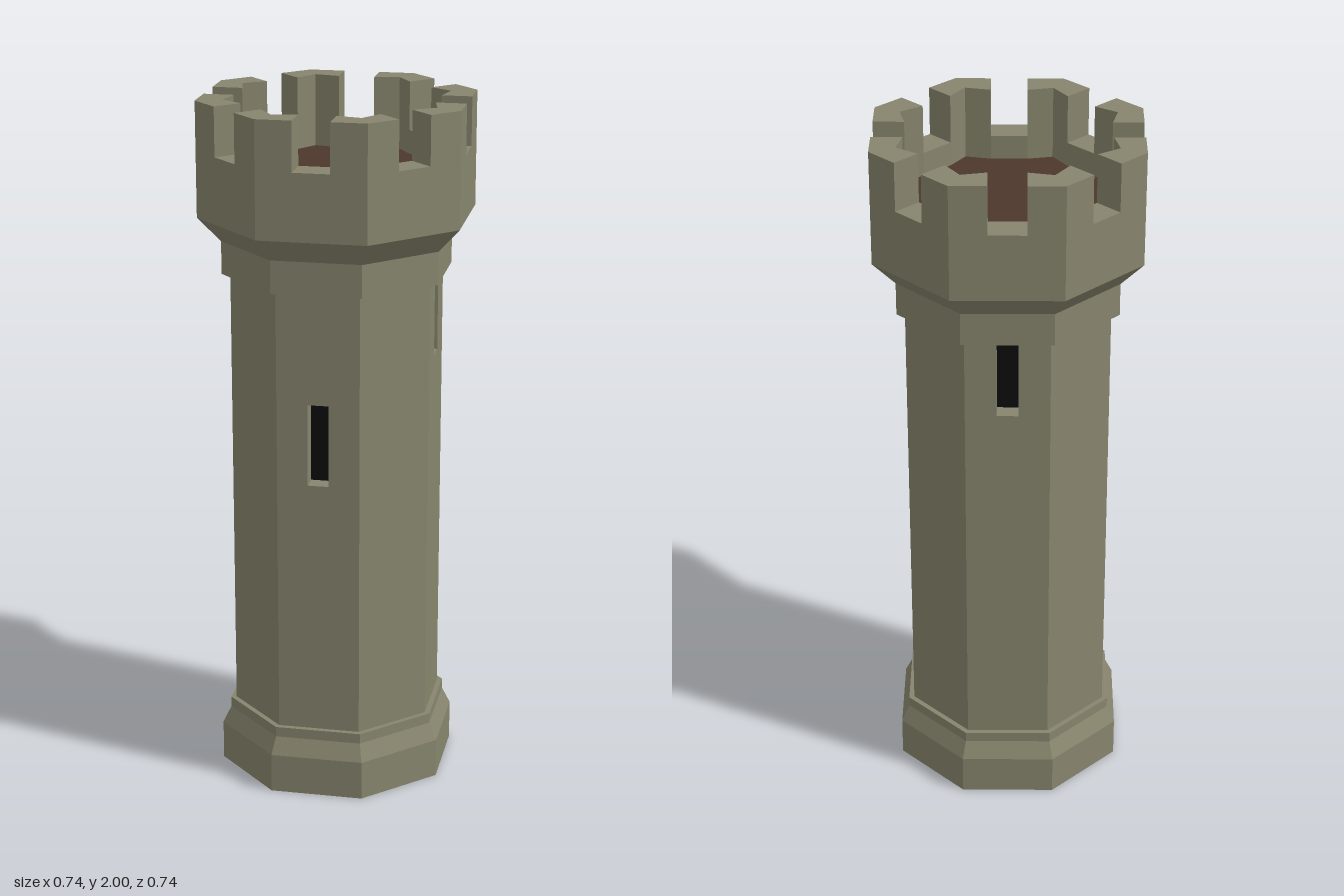
import * as THREE from 'three';

const STEP = Math.PI / 4;
const CORNER = 1 / Math.cos(Math.PI / 8); // apothem to corner radius

const stone = new THREE.MeshStandardMaterial({ color: 0x87856d, flatShading: true });
const stoneInside = new THREE.MeshStandardMaterial({ color: 0x87856d, flatShading: true, side: THREE.DoubleSide });
const wood = new THREE.MeshStandardMaterial({ color: 0x4c372b });
const dark = new THREE.MeshStandardMaterial({ color: 0x0c0c0e });

function add(parent, name, geometry, material) {
  const mesh = new THREE.Mesh(geometry, material);
  mesh.name = name;
  parent.add(mesh);
  return mesh;
}

// Eight-sided turned part; profile is [apothem, y] from bottom to top
function octagonal(profile) {
  const pts = profile.map(([a, y]) => new THREE.Vector2(a * CORNER, y));
  return new THREE.LatheGeometry(pts, 8).rotateY(Math.PI / 8);
}

// Plan point on face k: n out from the axis, t along the face
function onFace(k, n, t) {
  const c = Math.cos(k * STEP), s = Math.sin(k * STEP);
  return new THREE.Vector2(n * c - t * s, n * s + t * c);
}

// Plan point at the corner between faces k and k + 1
function atCorner(k, r) {
  const a = (k + 0.5) * STEP;
  return new THREE.Vector2(r * Math.cos(a), r * Math.sin(a));
}

function slab(shape, y0, y1) {
  return new THREE.ExtrudeGeometry(shape, { depth: y1 - y0, bevelEnabled: false })
    .rotateX(-Math.PI / 2).translate(0, y0, 0);
}

export function createModel() {
  const tower = new THREE.Group();
  tower.name = 'tower';

  // Base and flared head
  add(tower, 'base', octagonal([[0, 0], [0.323, 0], [0.323, 0.115], [0.3, 0.165], [0.3, 0.195], [0.28, 0.195]]), stone);
  add(tower, 'collar', octagonal([[0.28, 1.505], [0.308, 1.505], [0.308, 1.6], [0.37, 1.67], [0.37, 1.79]]), stone);

  // Shaft walls, arrow slits on the four main sides
  const wallA = 0.285, half = wallA * Math.tan(Math.PI / 8);
  const slitW = 0.06, slitH = 0.238, slitD = 0.05;
  const slitBottom = { 0: 0.946, 2: 1.272, 4: 1.272, 6: 0.946 }; // front, left, back, right
  const shaft = new THREE.Group();
  shaft.name = 'shaft';
  tower.add(shaft);
  for (let k = 0; k < 8; k++) {
    const side = new THREE.Group();
    side.name = 'shaftSide';
    side.rotation.y = k * STEP;
    shaft.add(side);
    const wall = new THREE.Shape([[-half, 0.15], [half, 0.15], [half, 1.55], [-half, 1.55]]
      .map(([x, y]) => new THREE.Vector2(x, y)));
    const y0 = slitBottom[k];
    if (y0 !== undefined) {
      const w = slitW / 2, y1 = y0 + slitH;
      wall.holes.push(new THREE.Path([[-w, y0], [-w, y1], [w, y1], [w, y0]]
        .map(([x, y]) => new THREE.Vector2(x, y))));
      const reveal = new THREE.CylinderGeometry(Math.SQRT1_2, Math.SQRT1_2, 1, 4, 1, true)
        .rotateY(Math.PI / 4).rotateX(Math.PI / 2).scale(slitW, slitH, slitD);
      add(side, 'slitReveal', reveal, stoneInside).position.set(0, y0 + slitH / 2, wallA - slitD / 2);
      add(side, 'slitBack', new THREE.PlaneGeometry(slitW, slitH), dark)
        .position.set(0, y0 + slitH / 2, wallA - slitD);
    }
    add(side, 'wall', new THREE.ShapeGeometry(wall), stone).position.z = wallA;
  }

  // Parapet ring, its inner face bowed inward between the corners
  const outA = 0.37, inA = 0.284, inR = 0.324, gap = 0.052;
  const outer = [], inner = [];
  for (let k = 0; k < 8; k++) {
    outer.push(atCorner(k, outA * CORNER));
    inner.push(onFace(k, inA, -gap), onFace(k, inA, gap), atCorner(k, inR));
  }
  const ring = new THREE.Shape(outer);
  ring.holes.push(new THREE.Path(inner));
  add(tower, 'parapet', slab(ring, 1.79, 1.86), stone);

  // Floor inside the parapet
  add(tower, 'floor', new THREE.ShapeGeometry(new THREE.Shape(inner)).rotateX(-Math.PI / 2).translate(0, 1.791, 0), wood);

  // A merlon wrapped around each corner
  for (let k = 0; k < 8; k++) {
    const plan = new THREE.Shape([
      onFace(k, outA, gap), atCorner(k, outA * CORNER), onFace(k + 1, outA, -gap),
      onFace(k + 1, inA, -gap), atCorner(k, inR), onFace(k, inA, gap),
    ]);
    add(tower, 'merlon', slab(plan, 1.86, 2), stone);
  }
  return tower;
}
